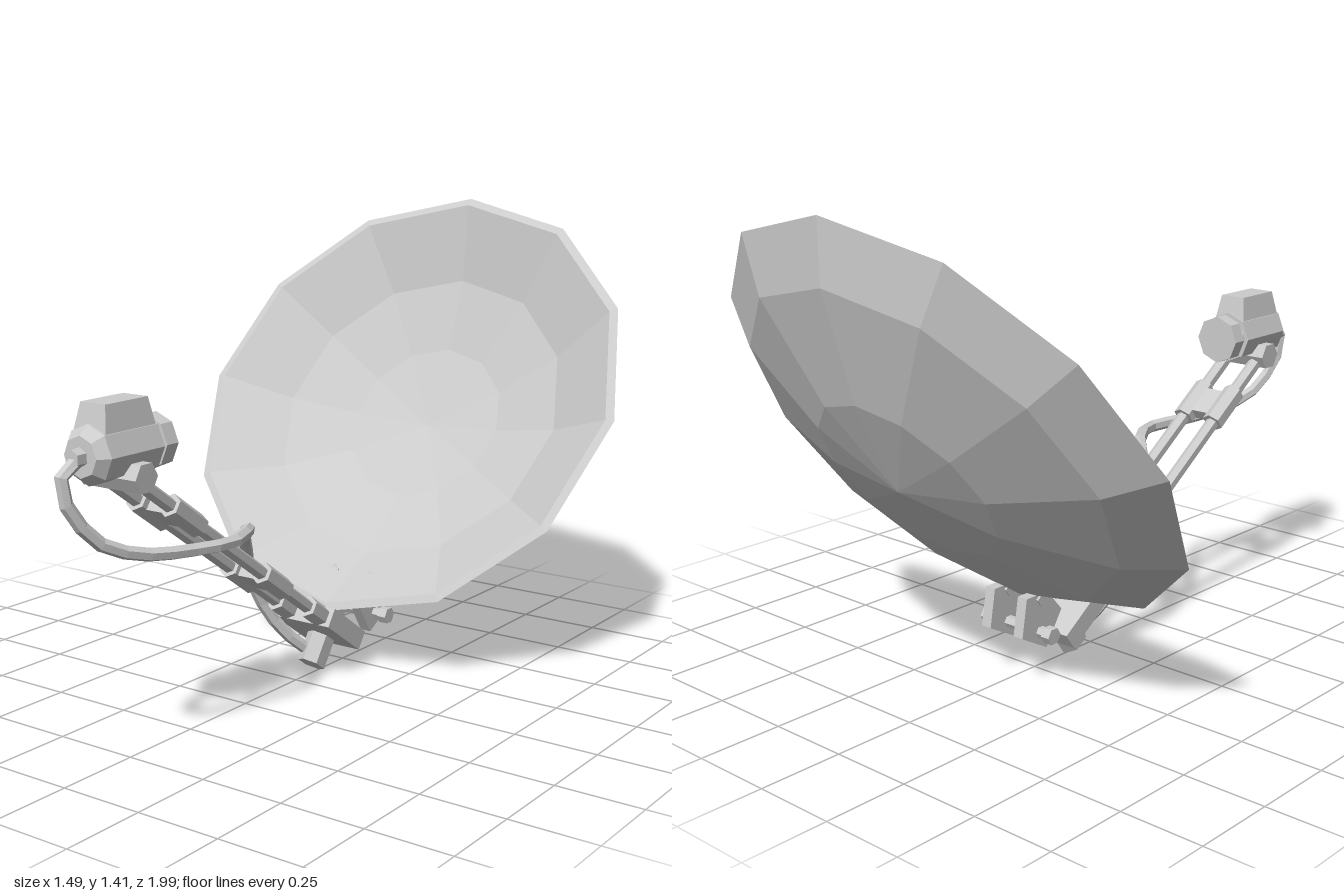
import * as THREE from 'three';

const mat = new THREE.MeshStandardMaterial({ color: 0xcccccc, flatShading: true });
const TILT = -0.608; // shared tilt of dish axis and feed arm
const V = (x, y, z) => new THREE.Vector3(x, y, z);

function add(parent, name, geometry, x = 0, y = 0, z = 0) {
  const m = new THREE.Mesh(geometry, mat);
  m.name = name;
  m.position.set(x, y, z);
  parent.add(m);
  return m;
}

// Faceted bar between two points
function bar(parent, name, a, b, r0, r1 = r0, sides = 6) {
  const d = b.clone().sub(a);
  const m = add(parent, name, new THREE.CylinderGeometry(r1, r0, d.length(), sides));
  m.position.copy(a).addScaledVector(d, 0.5);
  m.quaternion.setFromUnitVectors(V(0, 1, 0), d.normalize());
  return m;
}

function tilted(parent, name, y, z) {
  const g = new THREE.Group();
  g.name = name;
  g.position.set(0, y, z);
  g.rotation.x = TILT;
  parent.add(g);
  return g;
}

function makeDish(root) {
  const dish = tilted(root, 'dish', 0.8, -0.57);
  // back shell, rim lip, inner bowl
  const profile = [[0, -0.237], [0.29, -0.2], [0.6, -0.1], [0.747, 0], [0.72, 0.004],
    [0.5, -0.12], [0.27, -0.183], [0, -0.21]].map(p => new THREE.Vector2(...p));
  add(dish, 'reflector', new THREE.LatheGeometry(profile, 12).rotateX(Math.PI / 2));
  for (const s of [-1, 1]) bar(dish, 'dishBolt', V(s * 0.063, -0.6, -0.11), V(s * 0.063, -0.6, -0.06), 0.026);
}

function makeArm(root) {
  const arm = tilted(root, 'feedArm', 0.238, 0);
  for (const s of [-1, 1]) {
    const x = s * 0.058;
    bar(arm, 'armRod', V(x, 0, -0.22), V(x, 0, 0.93), 0.021);
    for (const [a, b] of [[0.64, 0.78], [0.17, 0.3], [-0.08, 0.03]])
      bar(arm, 'sleeve', V(x, 0, a), V(x, 0, b), 0.034);
  }
  // bridges joining the two rods
  for (const z of [0.71, 0.235]) add(arm, 'bridge', new THREE.BoxGeometry(0.1, 0.036, 0.1), 0, 0, z);
  add(arm, 'armSocket', new THREE.BoxGeometry(0.205, 0.06, 0.2), 0, 0, -0.15);
  bar(root, 'feedPivot', V(-0.1, 0.785, 0.775), V(0.1, 0.785, 0.775), 0.043);
}

function makeFeed(root) {
  const feed = new THREE.Group();
  feed.name = 'feedHead';
  root.add(feed);
  const y = 0.85;
  const along = (name, z0, z1, r0, r1 = r0, n = 8) => bar(feed, name, V(0, y, z0), V(0, y, z1), r0, r1, n);
  along('feedBody', 0.68, 0.88, 0.08);
  along('feedNose', 0.88, 0.91, 0.08, 0.055);
  along('feedNeck', 0.66, 0.69, 0.062);
  along('feedFlange', 0.62, 0.665, 0.075);
  along('cableSocket', 0.9, 0.94, 0.027, 0.024, 6);
  // tapered hump: a box narrowed towards its top
  const hump = new THREE.BoxGeometry(0.13, 0.13, 0.21);
  const p = hump.attributes.position;
  for (let i = 0; i < p.count; i++) if (p.getY(i) > 0) {
    p.setX(i, p.getX(i) * 0.65);
    p.setZ(i, p.getZ(i) * 0.76);
  }
  add(feed, 'feedHump', hump, 0, 0.915, 0.78);
}

function makeBracket(root) {
  // two pentagonal lugs behind the dish, drawn in the (z, y) plane
  const shape = new THREE.Shape([[-0.385, 0.155], [-0.365, 0.27], [-0.28, 0.27], [-0.22, 0.2], [-0.285, 0.1]]
    .map(([z, y]) => new THREE.Vector2(-z, y)));
  const lug = new THREE.ExtrudeGeometry(shape, { depth: 0.035, bevelEnabled: false });
  lug.translate(0, 0, -0.0175).rotateY(Math.PI / 2);
  for (const s of [-1, 1]) {
    add(root, 'mountLug', lug, s * 0.063);
    bar(root, 'pivotBoltHead', V(s * 0.105, 0.155, -0.31), V(s * 0.135, 0.155, -0.31), 0.026);
  }
  bar(root, 'pivotBolt', V(-0.11, 0.155, -0.31), V(0.11, 0.155, -0.31), 0.018);
  // stub under the arm where the cable ends
  const stub = tilted(root, 'cableStub', 0.083, -0.113);
  add(stub, 'stub', new THREE.CylinderGeometry(0.05, 0.05, 0.12, 6).scale(0.8, 1, 1));
}

function makeCable(root) {
  const pts = [[0, 0.845, 0.92], [0, 0.83, 0.965], [0, 0.785, 0.982], [0.01, 0.72, 0.96], [0.04, 0.63, 0.89],
    [0.08, 0.585, 0.78], [0.12, 0.568, 0.62], [0.148, 0.566, 0.48], [0.1, 0.566, 0.36], [0, 0.515, 0.25],
    [-0.07, 0.435, 0.15], [-0.105, 0.33, 0.085], [-0.09, 0.22, 0.03], [-0.055, 0.14, -0.02], [-0.02, 0.08, -0.08]];
  const curve = new THREE.CatmullRomCurve3(pts.map(q => V(...q)));
  add(root, 'cable', new THREE.TubeGeometry(curve, 22, 0.019, 6));
}

export function createModel() {
  const root = new THREE.Group();
  root.name = 'satelliteDish';
  makeDish(root);
  makeArm(root);
  makeFeed(root);
  makeBracket(root);
  makeCable(root);
  return root;
}
